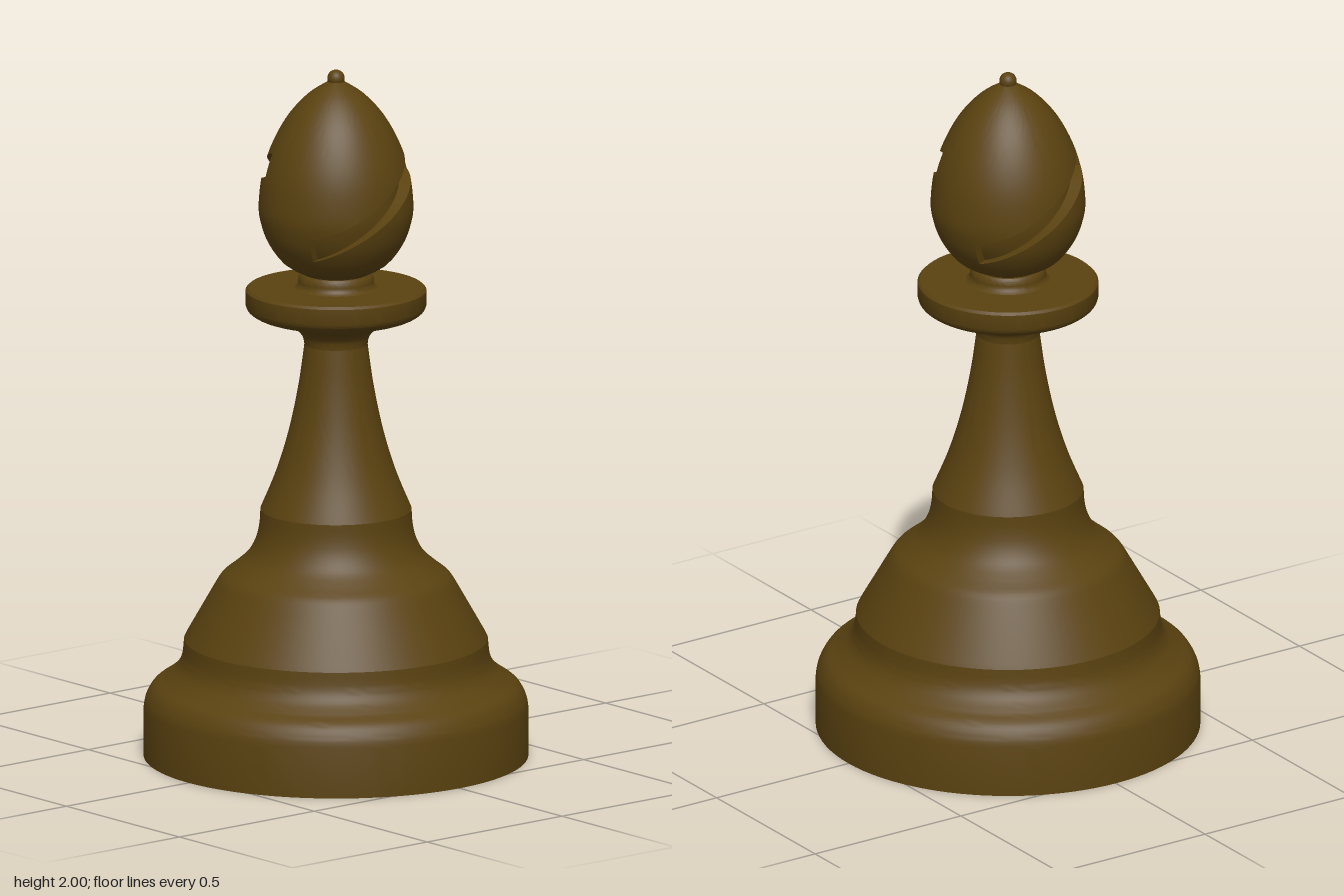
import * as THREE from 'three';
import { toCreasedNormals } from 'three/addons/utils/BufferGeometryUtils.js';

const material = new THREE.MeshStandardMaterial({ color: 0x5a4210 });
const vectors = (list) => list.map(([x, y]) => new THREE.Vector2(x, y));

// Smooth curve through a few [radius, height] points
const smooth = (list, n = 12) => new THREE.SplineCurve(vectors(list)).getPoints(n);

function turned(name, points) {
  const geometry = toCreasedNormals(new THREE.LatheGeometry(points, 96), 0.5);
  const mesh = new THREE.Mesh(geometry, material);
  mesh.name = name;
  return mesh;
}

// Egg-shaped head profile, and its radius at any height
const headProfile = smooth([
  [0.09, 1.405], [0.15, 1.44], [0.194, 1.5], [0.215, 1.56], [0.22, 1.61], [0.209, 1.7],
  [0.181, 1.785], [0.137, 1.865], [0.08, 1.928], [0.02, 1.968],
], 90);
function headRadius(y) {
  const i = headProfile.findIndex((p) => p.y >= y);
  if (i < 0) return headProfile.at(-1).x;
  if (i === 0) return headProfile[0].x;
  const a = headProfile[i - 1], b = headProfile[i];
  return a.x + (b.x - a.x) * (y - a.y) / (b.y - a.y);
}

// Head with two slanted slots, the second half a turn behind the first.
// Grid rows follow the slot edges, so the walls and floor stay crisp.
function headGeometry() {
  const bottom = 1.405, top = 1.968, halfSlot = 0.034, depth = 0.034;
  const start = -1.06, end = 1.16, steps = 40, gapSteps = 20;

  // Height of the slot's centre line on its slanted plane
  const slotHeight = (angle) => {
    let y = 1.62;
    for (let i = 0; i < 12; i++) y = 1.62 + 0.62 * headRadius(y) * Math.sin(angle);
    return y;
  };

  const columns = [];
  for (const turn of [0, Math.PI]) {
    const add = (angle, centre, cut) => columns.push({ angle: angle + turn, centre, cut });
    add(start, slotHeight(start), 0);
    for (let i = 0; i <= steps; i++) {
      const a = start + (end - start) * i / steps;
      add(a, slotHeight(a), depth);
    }
    const gap = start + Math.PI - end;
    for (let i = 0; i < gapSteps; i++) {
      const t = i / gapSteps;
      add(end + gap * t, THREE.MathUtils.lerp(slotHeight(end), slotHeight(start), t), 0);
    }
  }

  const rings = columns.map(({ angle, centre, cut }) => {
    const points = [];
    const put = (y, inset) => {
      const r = headRadius(y) - inset;
      points.push(new THREE.Vector3(r * Math.sin(angle), y, r * Math.cos(angle)));
    };
    const low = centre - halfSlot, high = centre + halfSlot;
    for (let i = 0; i <= 16; i++) put(bottom + (low - bottom) * i / 16, 0);
    for (let i = 0; i <= 4; i++) put(low + (high - low) * i / 4, cut);
    for (let i = 0; i <= 24; i++) put(high + (top - high) * i / 24, 0);
    return points;
  });

  const positions = [];
  const triangle = (a, b, c) => {
    if (new THREE.Triangle(a, b, c).getArea() < 1e-9) return;
    for (const p of [a, b, c]) positions.push(p.x, p.y, p.z);
  };
  rings.forEach((ring, i) => {
    const next = rings[(i + 1) % rings.length];
    for (let j = 0; j < ring.length - 1; j++) {
      triangle(ring[j], next[j], next[j + 1]);
      triangle(ring[j], next[j + 1], ring[j + 1]);
    }
  });
  const geometry = new THREE.BufferGeometry();
  geometry.setAttribute('position', new THREE.Float32BufferAttribute(positions, 3));
  return toCreasedNormals(geometry, 0.6);
}

export function createModel() {
  const model = new THREE.Group();
  model.name = 'chessBishop';

  // Heavy foot with rounded shoulder
  model.add(turned('base', [
    ...vectors([[0, 0], [0.547, 0]]),
    ...smooth([[0.547, 0.14], [0.541, 0.17], [0.522, 0.203], [0.49, 0.225]]),
    ...smooth([[0.484, 0.23], [0.455, 0.256], [0.438, 0.29], [0.432, 0.34]]),
  ]));

  // Sloping skirt and its concave neck
  model.add(turned('skirt', [
    ...vectors([[0.432, 0.34], [0.425, 0.354]]),
    ...smooth([[0.345, 0.495], [0.325, 0.525], [0.29, 0.553], [0.252, 0.588],
      [0.229, 0.63], [0.218, 0.675], [0.215, 0.72]], 24),
  ]));

  // Tapering stem
  model.add(turned('stem', smooth([
    [0.215, 0.72], [0.17, 0.83], [0.134, 0.95], [0.107, 1.08], [0.09, 1.2],
  ], 24)));

  // Flared collar disc with a small ring on top
  model.add(turned('collar', [
    ...smooth([[0.09, 1.2], [0.096, 1.225], [0.12, 1.249], [0.175, 1.269], [0.225, 1.284], [0.25, 1.3], [0.257, 1.315]], 24),
    ...vectors([[0.257, 1.358], [0.25, 1.365], [0.12, 1.365]]),
    ...smooth([[0.12, 1.365], [0.109, 1.375], [0.107, 1.395], [0.1, 1.406]], 8),
    ...vectors([[0, 1.408]]),
  ]));

  const head = new THREE.Mesh(headGeometry(), material);
  head.name = 'head';
  model.add(head);

  const finial = new THREE.Mesh(new THREE.SphereGeometry(0.025, 24, 16), material);
  finial.name = 'finial';
  finial.position.y = 1.975;
  model.add(finial);

  return model;
}
